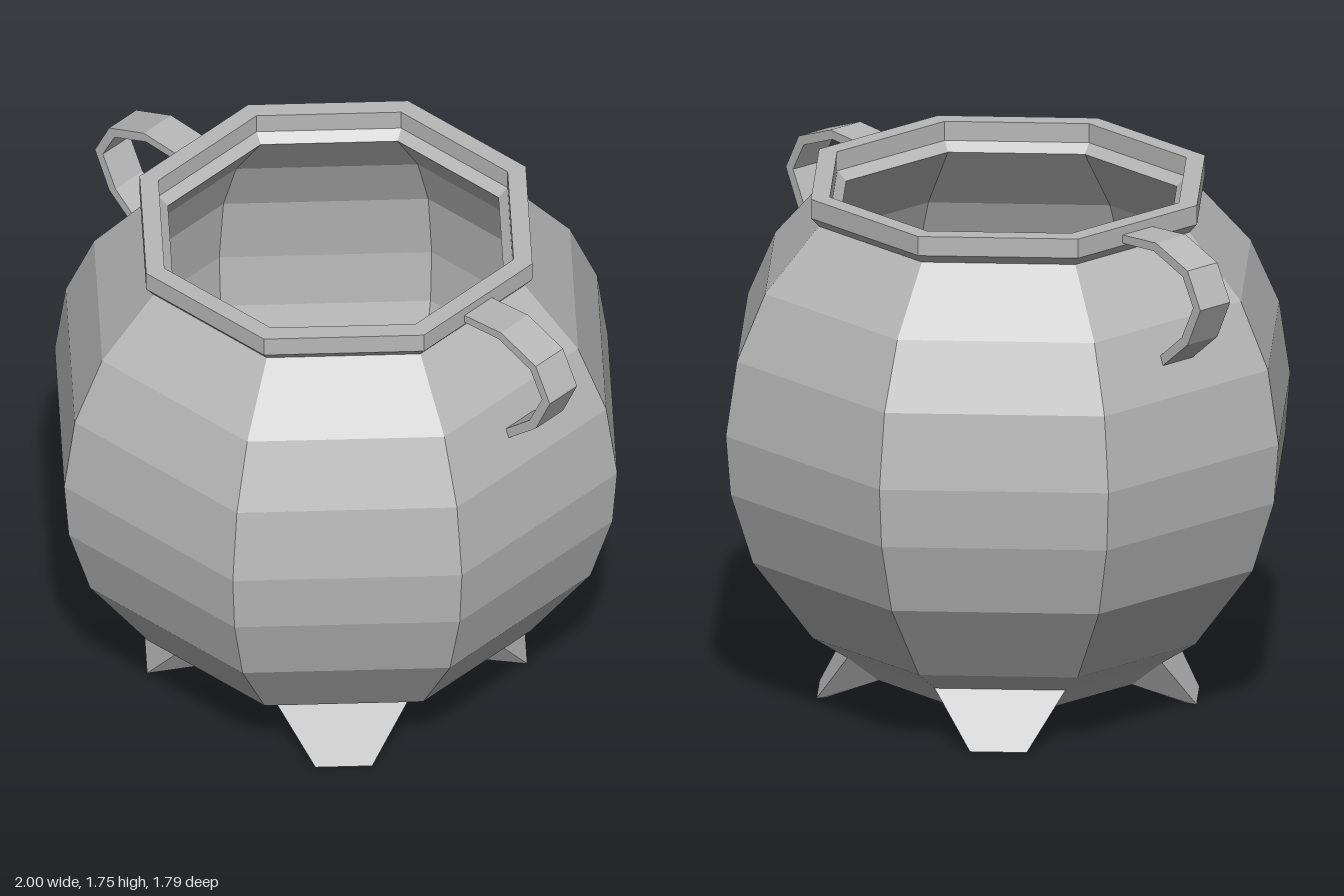
import * as THREE from 'three';
import { ConvexGeometry } from 'three/addons/geometries/ConvexGeometry.js';

const iron = new THREE.MeshStandardMaterial({ color: 0xb8b8b8 });
iron.name = 'grey iron';

// Faceted mesh: every face gets its own flat normal
function facetedMesh(geometry, name) {
  const flat = geometry.index ? geometry.toNonIndexed() : geometry;
  flat.computeVertexNormals();
  const mesh = new THREE.Mesh(flat, iron);
  mesh.name = name;
  return mesh;
}

// Eight-sided turned shell; radii are measured to the middle of a side
function octagonal(profile) {
  const k = 1 / Math.cos(Math.PI / 8);
  const points = profile.map(([r, y]) => new THREE.Vector2(r * k, y));
  return new THREE.LatheGeometry(points, 8, Math.PI / 8);
}

export function createModel() {
  const model = new THREE.Group();
  model.name = 'cauldron';

  // Body: outside from the base up, over the rim, then down the inside
  const outside = [
    [0, 0.09], [0.41, 0.09], [0.51, 0.18], [0.62, 0.26], [0.81, 0.54], [0.88, 0.78],
    [0.895, 0.98], [0.86, 1.23], [0.77, 1.45], [0.6, 1.66],
  ];
  const rim = [[0.6, 1.66], [0.625, 1.69], [0.625, 1.755], [0.565, 1.755], [0.565, 1.69], [0.535, 1.66]];
  const inside = [
    [0.535, 1.66], [0.71, 1.43], [0.8, 1.22], [0.83, 0.98], [0.82, 0.79], [0.75, 0.56],
    [0.57, 0.3], [0.37, 0.17], [0, 0.17],
  ];
  model.add(facetedMesh(octagonal(outside), 'body'));
  model.add(facetedMesh(octagonal(rim), 'rim'));
  model.add(facetedMesh(octagonal(inside), 'interior'));

  // Feet: tapered wedges under the four diagonal sides
  const corners = [[0.51, 0.18, 0.21], [0.41, 0.09, 0.17], [0.5, 0, 0.37], [0.47, 0, 0.355]];
  const footPoints = corners.flatMap(([x, y, z]) => [new THREE.Vector3(x, y, z), new THREE.Vector3(z, y, x)]);
  for (let i = 0; i < 4; i++) {
    const foot = facetedMesh(new ConvexGeometry(footPoints), 'foot');
    foot.rotation.y = i * Math.PI / 2;
    model.add(foot);
  }

  // Handles: flat bent straps from the rim to the shoulder
  const outer = [[0.61, 1.725], [0.785, 1.738], [0.938, 1.68], [1, 1.56], [0.938, 1.428], [0.815, 1.325]];
  const inner = [[0.79, 1.345], [0.91, 1.447], [0.965, 1.56], [0.914, 1.655], [0.775, 1.708], [0.61, 1.697]];
  const strap = new THREE.Shape([...outer, ...inner].map(([x, y]) => new THREE.Vector2(x, y)));
  for (const [name, turn] of [['leftHandle', 0], ['rightHandle', Math.PI]]) {
    const geometry = new THREE.ExtrudeGeometry(strap, { depth: 0.13, bevelEnabled: false });
    geometry.translate(0, 0, -0.065);
    const handle = facetedMesh(geometry, name);
    handle.rotation.y = turn;
    model.add(handle);
  }
  return model;
}
